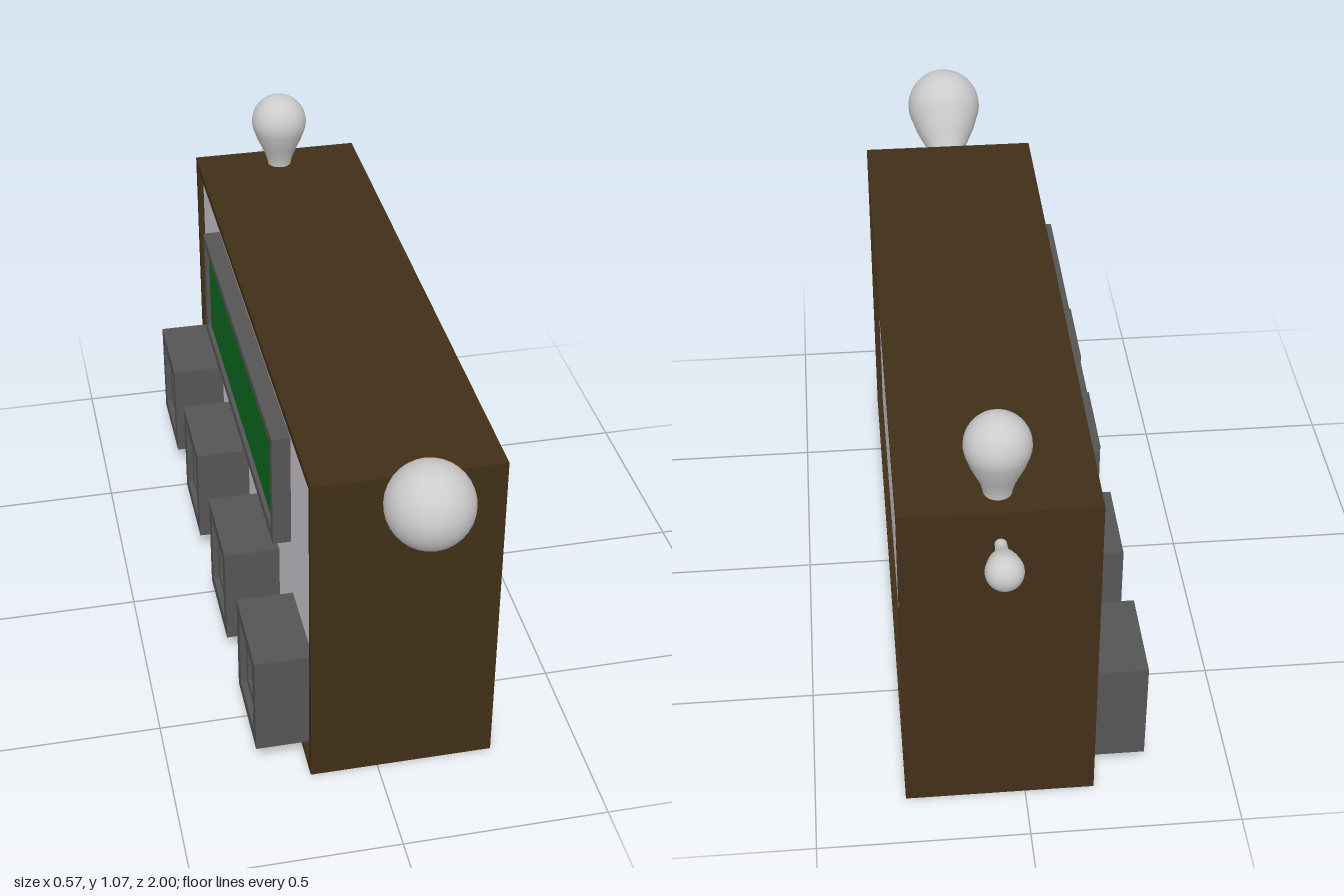
import * as THREE from 'three';

const mat = (color) => new THREE.MeshStandardMaterial({ color });
const wood = mat(0x412f18), panelMat = mat(0xcdcbd2), dark = mat(0x555555);
const green = mat(0x0c6a20), grey = mat(0xcccccc);

function add(parent, name, geometry, material, x = 0, y = 0, z = 0) {
  const mesh = new THREE.Mesh(geometry, material);
  mesh.name = name;
  mesh.position.set(x, y, z);
  parent.add(mesh);
  return mesh;
}

// Rectangular frame standing in the z-y plane, from x0 to x1, with a border of width b
function frameGeometry(len, height, b, x0, x1) {
  const rect = (T, w, h) => {
    const p = new T();
    p.moveTo(-w / 2, -h / 2).lineTo(w / 2, -h / 2).lineTo(w / 2, h / 2).lineTo(-w / 2, h / 2).closePath();
    return p;
  };
  const shape = rect(THREE.Shape, len, height);
  shape.holes.push(rect(THREE.Path, len - 2 * b, height - 2 * b));
  return new THREE.ExtrudeGeometry(shape, { depth: x1 - x0, bevelEnabled: false })
    .rotateY(Math.PI / 2).translate(x0, 0, 0);
}

// Bulb turned about y, centred on its round end, with the neck pointing down
function bulbGeometry(r, neck) {
  const pts = [[0, -2.5], [neck, -2.5], [neck, -1.85], [neck + 0.03, -1.6], [neck + 0.12, -1.3],
    [0.69, -0.95], [0.82, -0.68]].map(([x, y]) => new THREE.Vector2(x * r, y * r));
  for (let i = 0; i <= 14; i++) {
    const a = -0.45 + (i / 14) * (Math.PI / 2 + 0.45);
    pts.push(new THREE.Vector2(Math.max(0, Math.cos(a) * r), Math.sin(a) * r));
  }
  return new THREE.LatheGeometry(pts, 32);
}

export function createModel() {
  const model = new THREE.Group();
  const cx = 0.06, cy = 0.4325, cz = -0.065;

  // Wooden case, open on both broad sides, with recessed panels
  add(model, 'case', frameGeometry(1.6, 0.865, 0.02, -0.165, 0.285), wood, 0, cy, cz);
  for (const [name, x] of [['leftPanel', 0.265], ['rightPanel', -0.145]])
    add(model, name, new THREE.BoxGeometry(0.01, 0.825, 1.56), panelMat, x, cy, cz);

  // Display with a raised border
  const display = new THREE.Group();
  display.name = 'display';
  display.position.set(0, 0.632, -0.07);
  model.add(display);
  add(display, 'displayFrame', frameGeometry(1, 0.305, 0.025, -0.195, -0.15), dark);
  add(display, 'screen', new THREE.BoxGeometry(0.035, 0.255, 0.95), green, -0.167);

  // Four sockets: outer border, stepped inner rim and closed back
  [-0.705, -0.2875, 0.15, 0.5675].forEach((z, i) => {
    const socket = new THREE.Group();
    socket.name = 'socket' + (i + 1);
    socket.position.set(0, 0.2, z);
    model.add(socket);
    add(socket, 'socketBody', frameGeometry(0.242, 0.268, 0.035, -0.29, -0.15), dark);
    add(socket, 'socketRim', frameGeometry(0.172, 0.198, 0.02, -0.275, -0.15), dark);
    add(socket, 'socketBack', new THREE.BoxGeometry(0.06, 0.158, 0.132), dark, -0.19);
  });

  // Bulbs on the front edge, the top and the back
  add(model, 'frontBulb', bulbGeometry(0.1, 0.39), grey, cx, 0.906, 0.9).rotation.x = 0.8;
  add(model, 'topBulb', bulbGeometry(0.075, 0.41), grey, cx, 0.993, -0.79);
  add(model, 'backBulb', bulbGeometry(0.043, 0.32), grey, cx, 0.78, -0.957).rotation.x = -Math.PI / 2;
  return model;
}
